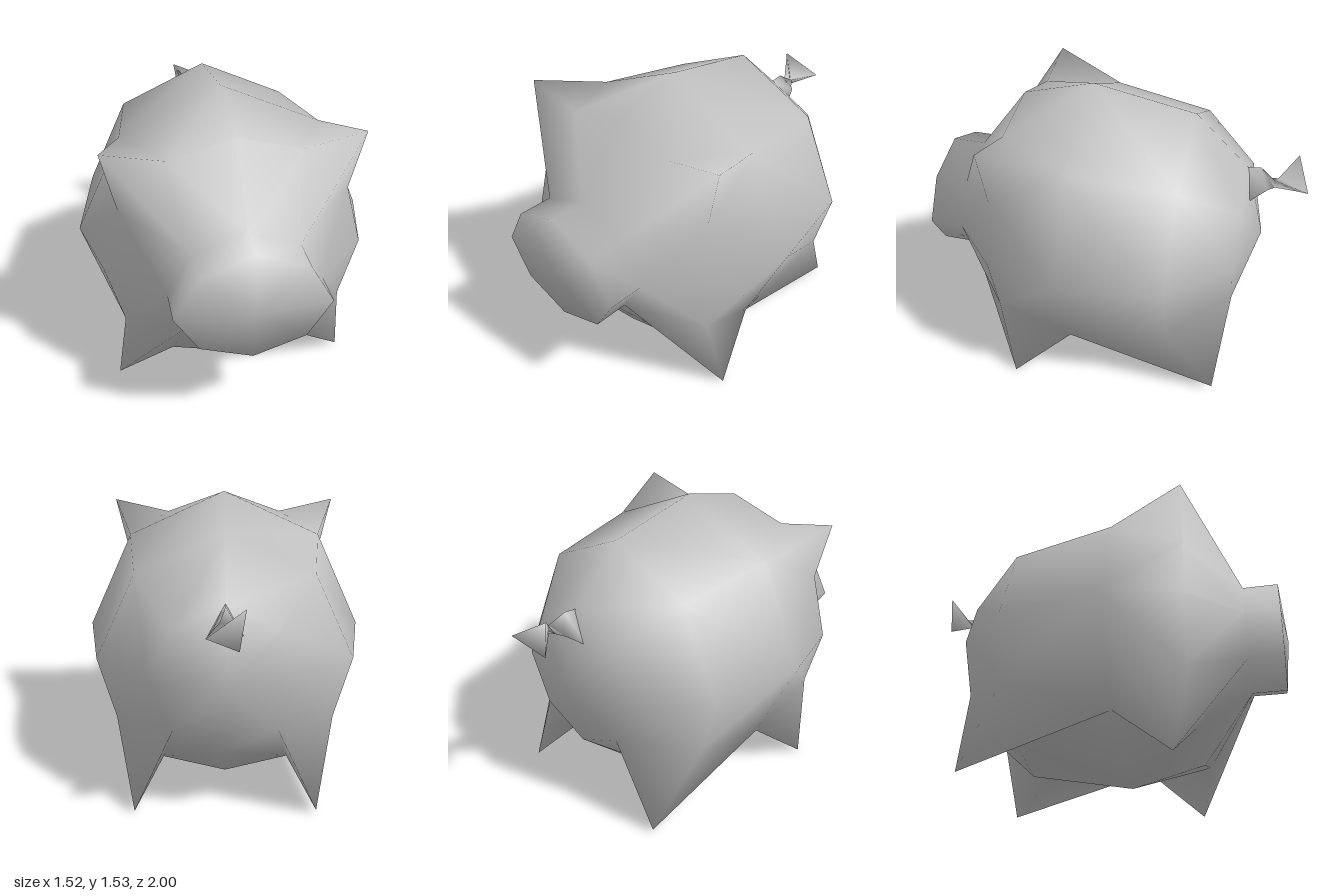
import * as THREE from 'three';

const CY = 0.77; // height of the body axis

// Collects shared vertices so the surface is shaded smoothly
class Skin {
  constructor() { this.pos = []; this.idx = []; }
  add(p) { this.pos.push(...p); return this.pos.length / 3 - 1; }
  fan(loop) { for (let i = 1; i < loop.length - 1; i++) this.idx.push(loop[0], loop[i], loop[i + 1]); }
  mesh(name, material) {
    const g = new THREE.BufferGeometry();
    g.setAttribute('position', new THREE.Float32BufferAttribute(this.pos, 3));
    g.setIndex(this.idx);
    g.computeVertexNormals();
    const m = new THREE.Mesh(g, material);
    m.name = name;
    return m;
  }
}

// Eight spokes clockwise from the top: [x, y] as factors of the radii
const D = 0.684;
const SPOKES = [[0, 1], [D, D], [1, 0], [D, -D], [0, -1], [-D, -D], [-1, 0], [-D, D]];

// Cross-sections from snout to rump; upper/lower are the pulled-out corner tips
const RINGS = [
  { z: 0.97, rx: 0.38, up: 0.31, down: 0.28 },
  { z: 0.79, rx: 0.38, up: 0.31, down: 0.28 },
  { z: 0.52, rx: 0.66, up: 0.66, down: 0.655, upper: [0.64, 1.41, 0.53], lower: [0.62, 0, 0.44] }, // ears, front legs
  { z: 0.14, rx: 0.76, up: 0.76, down: 0.755 },
  { z: -0.4, rx: 0.66, up: 0.66, down: 0.655, lower: [0.47, 0.02, -0.65] }, // back legs
  { z: -0.69, rx: 0.38, up: 0.385, down: 0.385 },
];

function makeBody(material) {
  const skin = new Skin();
  const rings = RINGS.map((r) => {
    const tipOf = (k) => (k % 2 ? (SPOKES[k][1] > 0 ? r.upper : r.lower) : null);
    const spokes = SPOKES.map(([sx, sy], k) => {
      const tip = tipOf(k);
      return skin.add(tip
        ? [Math.sign(sx) * tip[0], tip[1], tip[2]]
        : [sx * r.rx, CY + sy * (sy > 0 ? r.up : r.down), r.z]);
    });
    // Extra point beside every ear or leg, at its root
    const roots = SPOKES.map((_, k) => {
      const n = (k + 1) % 8;
      const corner = k % 2 ? k : n, straight = k % 2 ? n : k;
      if (!tipOf(corner)) return null;
      const [sx, sy] = SPOKES[corner];
      const [x, y] = straight % 4 === 0 ? [0.33, 0.57] : [0.57, 0.33];
      return skin.add([Math.sign(sx) * x, CY + Math.sign(sy) * y, r.z]);
    });
    return { spokes, roots };
  });

  // Skin between neighbouring rings
  for (let j = 0; j < rings.length - 1; j++) {
    const a = rings[j], b = rings[j + 1];
    for (let k = 0; k < 8; k++) {
      const n = (k + 1) % 8;
      const a0 = a.spokes[k], a1 = a.spokes[n], b0 = b.spokes[k], b1 = b.spokes[n];
      if (a.roots[k] !== null) skin.fan([a.roots[k], a1, b1, b0, a0]);
      else if (b.roots[k] !== null) skin.fan([b.roots[k], b0, a0, a1, b1]);
      else skin.fan([a0, a1, b1, b0]);
    }
  }

  // Snout disc and rump
  const nose = skin.add([0, CY, 1]);
  const rump = skin.add([0, CY, -0.79]);
  const first = rings[0].spokes, last = rings[rings.length - 1].spokes;
  for (let k = 0; k < 8; k++) {
    const n = (k + 1) % 8;
    skin.fan([nose, first[n], first[k]]);
    skin.fan([rump, last[k], last[n]]);
  }
  return skin.mesh('body', material);
}

// Three-sided twisted tail, pinched in the middle
function makeTail(material) {
  const skin = new Skin();
  const rings = [
    [[0, 1.16, -0.665], [0.09, 1.0, -0.7], [-0.09, 1.0, -0.7]],
    [[0, 1.17, -0.75], [0.06, 1.08, -0.8], [-0.06, 1.08, -0.8]],
    [[0.03, 1.12, -0.83], [0.03, 1.08, -0.83], [-0.03, 1.1, -0.84]],
    [[0.09, 1.11, -1.0], [-0.06, 1.02, -0.93], [-0.09, 1.22, -0.93]],
  ].map((ring) => ring.map((p) => skin.add(p)));
  for (let j = 0; j < rings.length - 1; j++) {
    for (let k = 0; k < 3; k++) {
      const n = (k + 1) % 3;
      skin.fan([rings[j][k], rings[j][n], rings[j + 1][n], rings[j + 1][k]]);
    }
  }
  skin.fan(rings[3]);
  return skin.mesh('tail', material);
}

export function createModel() {
  const grey = new THREE.MeshStandardMaterial({ color: 0xc0c0c0 });
  grey.name = 'light grey';
  const group = new THREE.Group();
  group.name = 'pig';
  group.add(makeBody(grey), makeTail(grey));
  return group;
}
